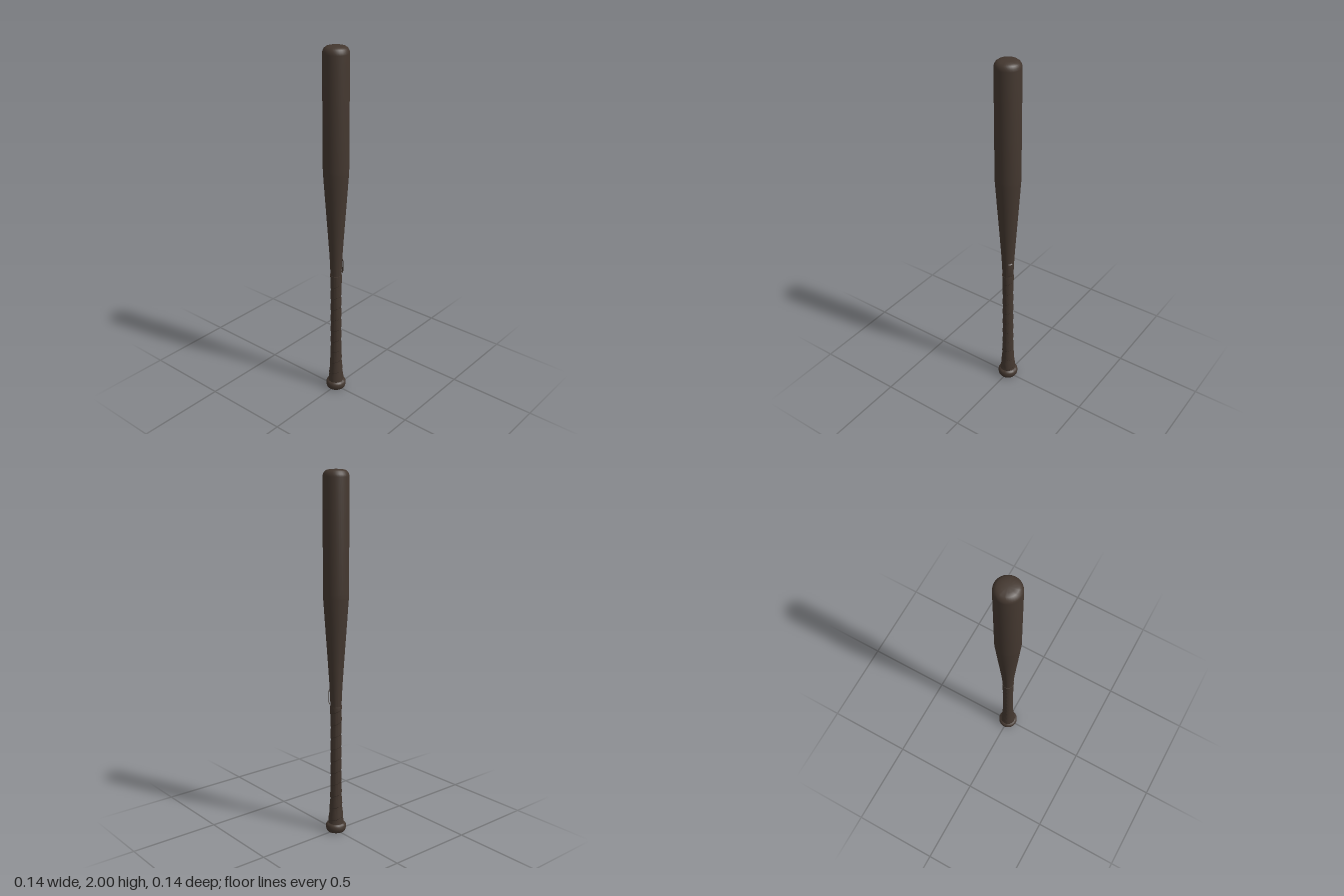
import * as THREE from 'three';
import { toCreasedNormals } from 'three/addons/utils/BufferGeometryUtils.js';

const V = (r, y) => new THREE.Vector2(r, y);

// Radius of the wooden shaft at a given height
const shaft = [[0.05, 0.041], [0.08, 0.039], [0.13, 0.034], [0.2, 0.0305], [0.3, 0.028],
  [0.62, 0.0275], [0.72, 0.0295], [0.85, 0.035], [1.0, 0.045], [1.2, 0.059], [1.34, 0.0685]];
function shaftRadius(y) {
  for (let i = 1; i < shaft.length; i++) {
    const [y0, r0] = shaft[i - 1], [y1, r1] = shaft[i];
    if (y <= y1) return r0 + (r1 - r0) * Math.max(0, (y - y0) / (y1 - y0));
  }
  return shaft[shaft.length - 1][1];
}

// Overlapping spiral tape: a sawtooth lathe sheared upwards once round the handle
function gripGeometry(bottom, top, pitch, thickness) {
  const points = [];
  for (let y = bottom - pitch; y < top; y += pitch) {
    for (const [t, h] of [[0, 0.3], [0.05, 1], [0.35, 0.85], [0.7, 0.5], [0.999, 0.3]]) {
      points.push(V(h * thickness, y + t * pitch));
    }
  }
  const geometry = new THREE.LatheGeometry(points, 32);
  const pos = geometry.attributes.position, uv = geometry.attributes.uv;
  for (let i = 0; i < pos.count; i++) {
    const turn = uv.getX(i), angle = turn * Math.PI * 2;
    const lift = Math.hypot(pos.getX(i), pos.getZ(i));
    const y = THREE.MathUtils.clamp(pos.getY(i) + turn * pitch, bottom, top);
    const r = shaftRadius(y) + lift;
    pos.setXYZ(i, Math.sin(angle) * r, y, Math.cos(angle) * r);
  }
  return toCreasedNormals(geometry, 0.6);
}

export function createModel() {
  const bat = new THREE.Group();
  bat.name = 'bat';
  const wood = new THREE.MeshStandardMaterial({ color: 0x43372f, side: THREE.DoubleSide });
  wood.name = 'dark brown wood';

  const add = (name, geometry) => {
    const mesh = new THREE.Mesh(geometry, wood);
    mesh.name = name;
    bat.add(mesh);
  };
  const lathe = (points, crease = 0.7) =>
    toCreasedNormals(new THREE.LatheGeometry(points, 32), crease);

  // Knob with a cupped underside
  add('knob', lathe([V(0, 0.014), V(0.022, 0.014), V(0.03, 0.003), V(0.036, 0), V(0.049, 0.003),
    V(0.054, 0.01), V(0.057, 0.025), V(0.056, 0.038), V(0.051, 0.047), V(0.041, 0.052)]));

  // Handle and taper
  add('shaft', lathe(shaft.map(([y, r]) => V(r, y))));

  // Barrel with a rounded, gently domed end
  add('barrel', lathe([V(0.0685, 1.34), V(0.069, 1.36), V(0.069, 1.962), V(0.067, 1.975),
    V(0.06, 1.987), V(0.049, 1.995), V(0.03, 1.999), V(0, 2)]));

  // Wrapped grip tape
  add('gripTape', gripGeometry(0.05, 0.74, 0.07, 0.0035));

  // Loose end of the tape, on the front left
  const flap = [V(0.034, 0.75), V(0.039, 0.755), V(0.0415, 0.775), V(0.0415, 0.81), V(0.039, 0.83), V(0.034, 0.835)];
  add('tapeEnd', toCreasedNormals(
    new THREE.LatheGeometry(flap, 6, THREE.MathUtils.degToRad(38), THREE.MathUtils.degToRad(36)), 0.6));

  return bat;
}
